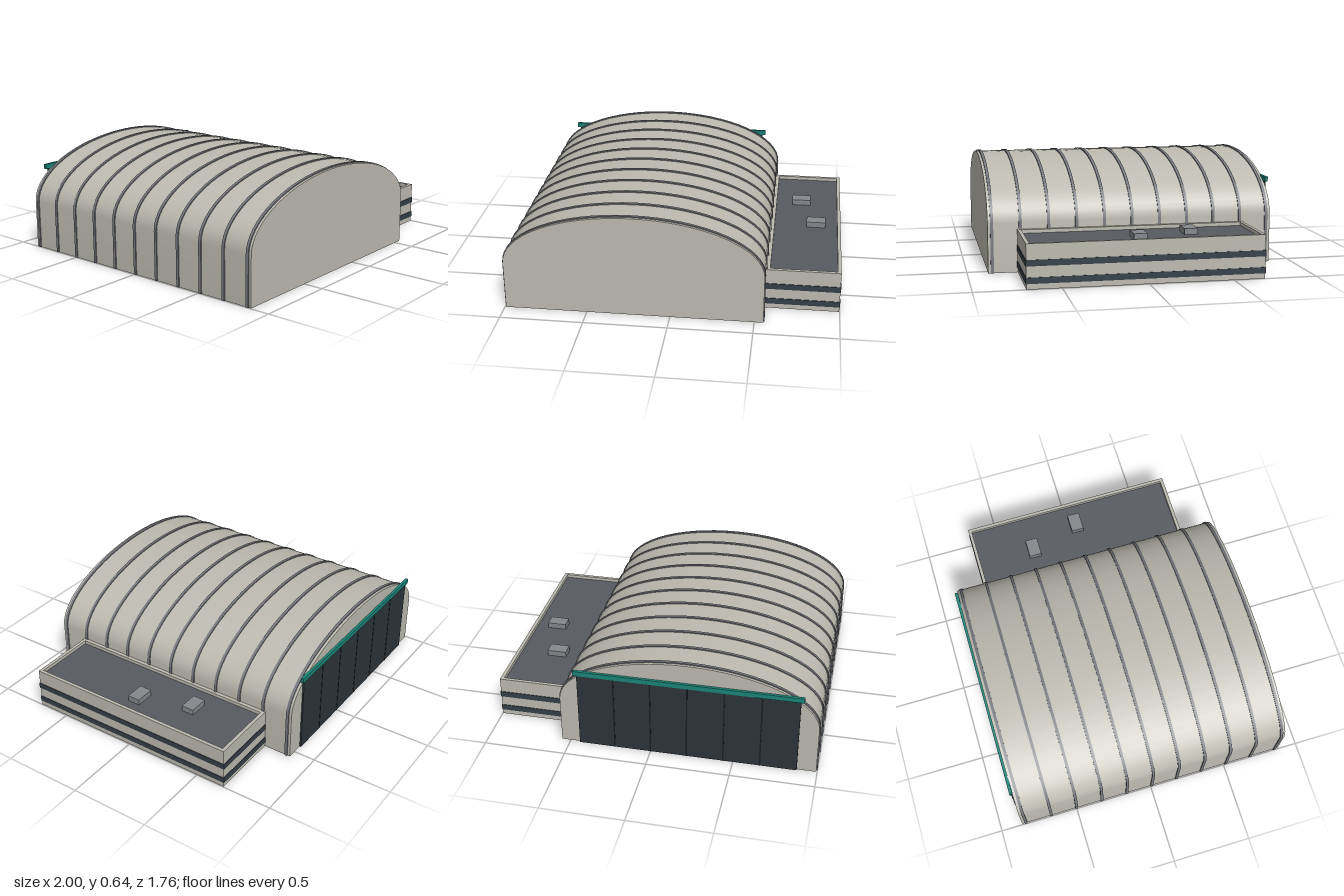
import * as THREE from 'three';
import { toCreasedNormals } from 'three/addons/utils/BufferGeometryUtils.js';

const mat = (name, color) => {
  const m = new THREE.MeshStandardMaterial({ color });
  m.name = name;
  return m;
};

// Points of the vaulted outline, from the right foot over the top to the left foot
const HALL_X = -0.22, SPRING = 0.3;
function archPoints(halfWidth, top, segments = 32) {
  const pts = [new THREE.Vector2(halfWidth, 0)];
  for (let i = 0; i <= segments; i++) {
    const a = (i / segments) * Math.PI;
    pts.push(new THREE.Vector2(halfWidth * Math.cos(a), SPRING + (top - SPRING) * Math.sin(a)));
  }
  pts.push(new THREE.Vector2(-halfWidth, 0));
  return pts;
}

// Extrude an outline along z between two depths, with smooth vault and sharp ends
function extrudeZ(points, z0, z1) {
  const g = new THREE.ExtrudeGeometry(new THREE.Shape(points), { depth: z1 - z0, bevelEnabled: false });
  g.translate(HALL_X, 0, z0);
  return toCreasedNormals(g, 0.6);
}

export function createModel() {
  const model = new THREE.Group();
  model.name = 'hangar';

  const wall = mat('warm grey cladding', 0xbcbab0);
  const rib = mat('rib grey', 0x74777d);
  const door = mat('dark door', 0x2c343a);
  const seam = mat('door seam', 0x1a1f23);
  const teal = mat('teal trim', 0x1a8478);
  const glass = mat('window band', 0x353f48);
  const roof = mat('roof grey', 0x575b60);
  const unit = mat('roof unit grey', 0x85878b);

  const add = (name, geometry, material, parent = model) => {
    const m = new THREE.Mesh(geometry, material);
    m.name = name;
    parent.add(m);
    return m;
  };
  // Box given by its minimum and maximum along each axis
  const box = (name, [x0, x1], [y0, y1], [z0, z1], material, parent) => {
    const m = add(name, new THREE.BoxGeometry(x1 - x0, y1 - y0, z1 - z0), material, parent);
    m.position.set((x0 + x1) / 2, (y0 + y1) / 2, (z0 + z1) / 2);
    return m;
  };
  const group = (name) => {
    const g = new THREE.Group();
    g.name = name;
    model.add(g);
    return g;
  };

  // Vaulted hall
  add('hall', extrudeZ(archPoints(0.774, 0.635), -0.863, 0.877), wall);

  // Eleven ribs wrapping the vault
  const ribs = group('ribs');
  const ribOutline = [...archPoints(0.78, 0.642), ...archPoints(0.77, 0.63).reverse()];
  const ribGeometry = extrudeZ(ribOutline, -0.009, 0.009);
  for (let i = 0; i < 11; i++) {
    add('rib', ribGeometry, rib, ribs).position.z = 0.0075 + (i - 5) * 0.169;
  }

  // Sliding doors on the back gable, with a header rail
  const doors = group('doors');
  const doorLeft = -0.88, panel = 0.22;
  for (let i = 0; i < 6; i++) {
    const x = doorLeft + i * panel;
    box('doorPanel', [x, x + panel], [0, 0.49], [-0.873, -0.862], door, doors);
    if (i) box('doorSeam', [x - 0.004, x + 0.004], [0, 0.49], [-0.875, -0.87], seam, doors);
  }
  box('doorHeader', [-0.9, 0.46], [0.488, 0.518], [-0.879, -0.86], teal, doors);

  // Flat-roofed side annex with a raised parapet
  const annex = group('annex');
  const ax = [0.55, 0.997], az = [-0.687, 0.702];
  const roofY = 0.238, topY = 0.26, t = 0.021;
  box('annexBody', ax, [0, roofY - 0.004], az, wall, annex);
  box('annexRoof', [0.575, ax[1] - t], [roofY - 0.008, roofY], [az[0] + t, az[1] - t], roof, annex);
  const py = [roofY - 0.004, topY];
  box('parapetRight', [ax[1] - t, ax[1]], py, az, wall, annex);
  box('parapetLeft', [ax[0], 0.577], py, az, wall, annex);
  box('parapetBack', [0.577, ax[1] - t], py, [az[0], az[0] + t], wall, annex);
  box('parapetFront', [0.577, ax[1] - t], py, [az[1] - t, az[1]], wall, annex);

  // Two window bands running round the three free sides
  for (const y of [[0.032, 0.068], [0.132, 0.168]]) {
    box('windowBandRight', [ax[1] - 0.002, 1], y, [az[0] - 0.004, az[1] + 0.004], glass, annex);
    box('windowBandFront', [0.556, ax[1] - 0.002], y, [az[1] - 0.002, az[1] + 0.004], glass, annex);
    box('windowBandBack', [0.556, ax[1] - 0.002], y, [az[0] - 0.004, az[0] + 0.002], glass, annex);
  }

  // Ventilation units on the annex roof
  for (const [x, z] of [[0.74, -0.295], [0.84, 0.03]]) {
    box('roofUnit', [x - 0.06, x + 0.06], [roofY - 0.002, 0.274], [z - 0.04, z + 0.04], unit, annex);
  }

  return model;
}
